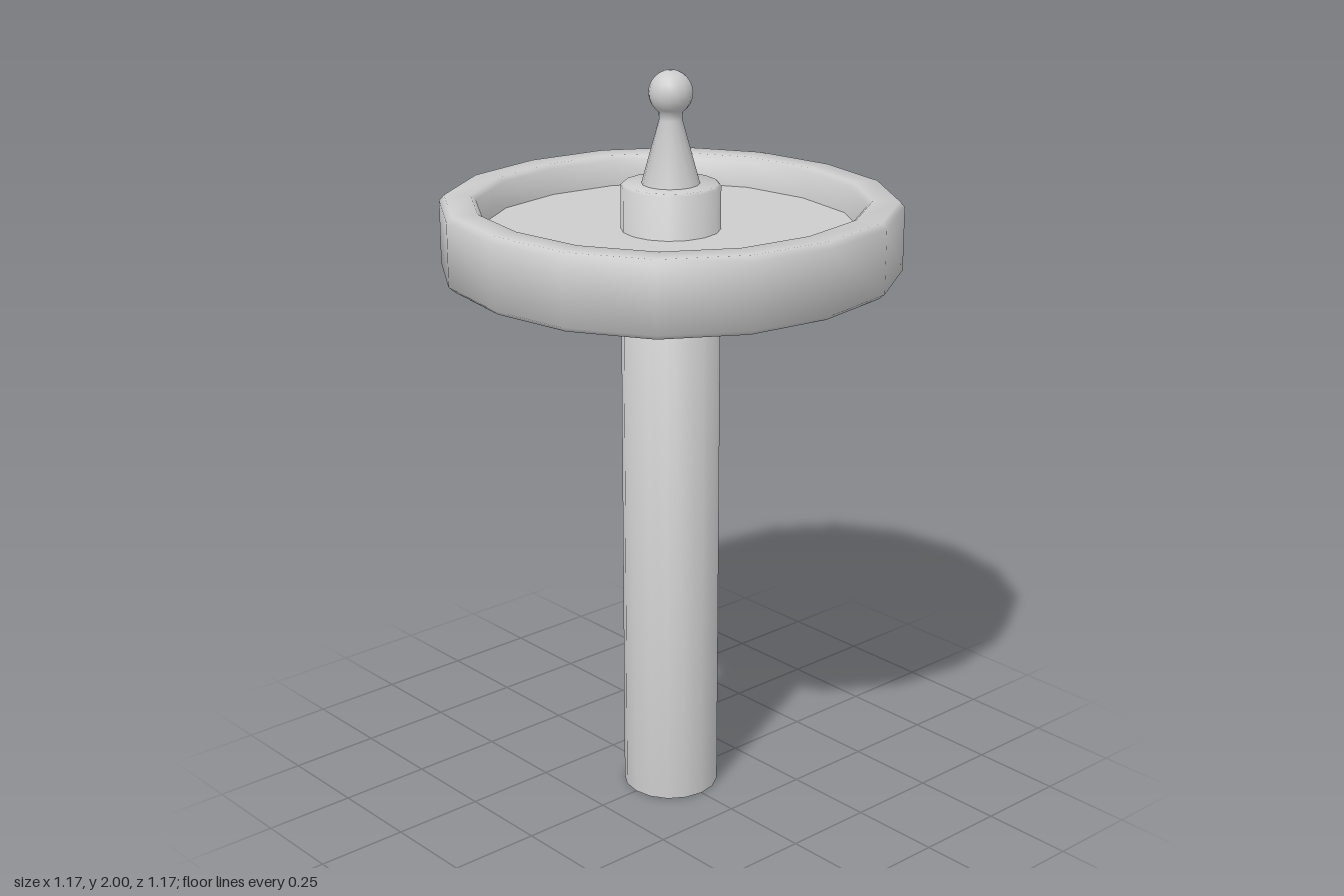
import * as THREE from 'three';
import { toCreasedNormals } from 'three/addons/utils/BufferGeometryUtils.js';

const SIDES = 16;

export function createModel() {
  const group = new THREE.Group();
  const grey = new THREE.MeshStandardMaterial({ color: 0xcccccc, side: THREE.DoubleSide });
  grey.name = 'plain grey';

  // Turned part from [radius, height] points, listed so that the skin faces outwards.
  // bulge pushes the diagonals out a little, giving a slightly squared round.
  function turned(name, profile, bulge, creaseAngle) {
    const geometry = new THREE.LatheGeometry(profile.map(([r, y]) => new THREE.Vector2(r, y)), SIDES);
    const pos = geometry.attributes.position;
    for (let i = 0; i < pos.count; i++) {
      const x = pos.getX(i), z = pos.getZ(i);
      const k = 1 + bulge * (1 - Math.cos(4 * Math.atan2(z, x)));
      pos.setX(i, x * k);
      pos.setZ(i, z * k);
    }
    const mesh = new THREE.Mesh(toCreasedNormals(geometry, creaseAngle), grey);
    mesh.name = name;
    group.add(mesh);
  }

  // Long hollow post, open at the foot, ending in the hub above the dish
  turned('post', [[0.128, 0], [0.128, 1.704], [0.122, 1.71], [0, 1.71]], 0.006, 1.05);

  // Shallow dish with a thick raised rim and a gently sloping underside
  turned('dish', [
    [0.12, 1.46], [0.3, 1.462], [0.567, 1.474], [0.583, 1.488],
    [0.583, 1.655], [0.57, 1.67], [0.503, 1.67], [0.49, 1.658],
    [0.48, 1.59], [0.12, 1.59],
  ], 0.014, 1.05);

  // Finial: tapering cone, narrow neck and a ball with a slightly flattened top
  const ball = [];
  for (let i = 0; i <= 9; i++) {
    const a = THREE.MathUtils.lerp(-1.0, 1.25, i / 9);
    ball.push([0.057 * Math.cos(a), 1.943 + 0.058 * Math.sin(a)]);
  }
  turned('finial', [[0.076, 1.708], [0.03, 1.875], ...ball, [0, 2]], 0, 1.2);

  return group;
}
